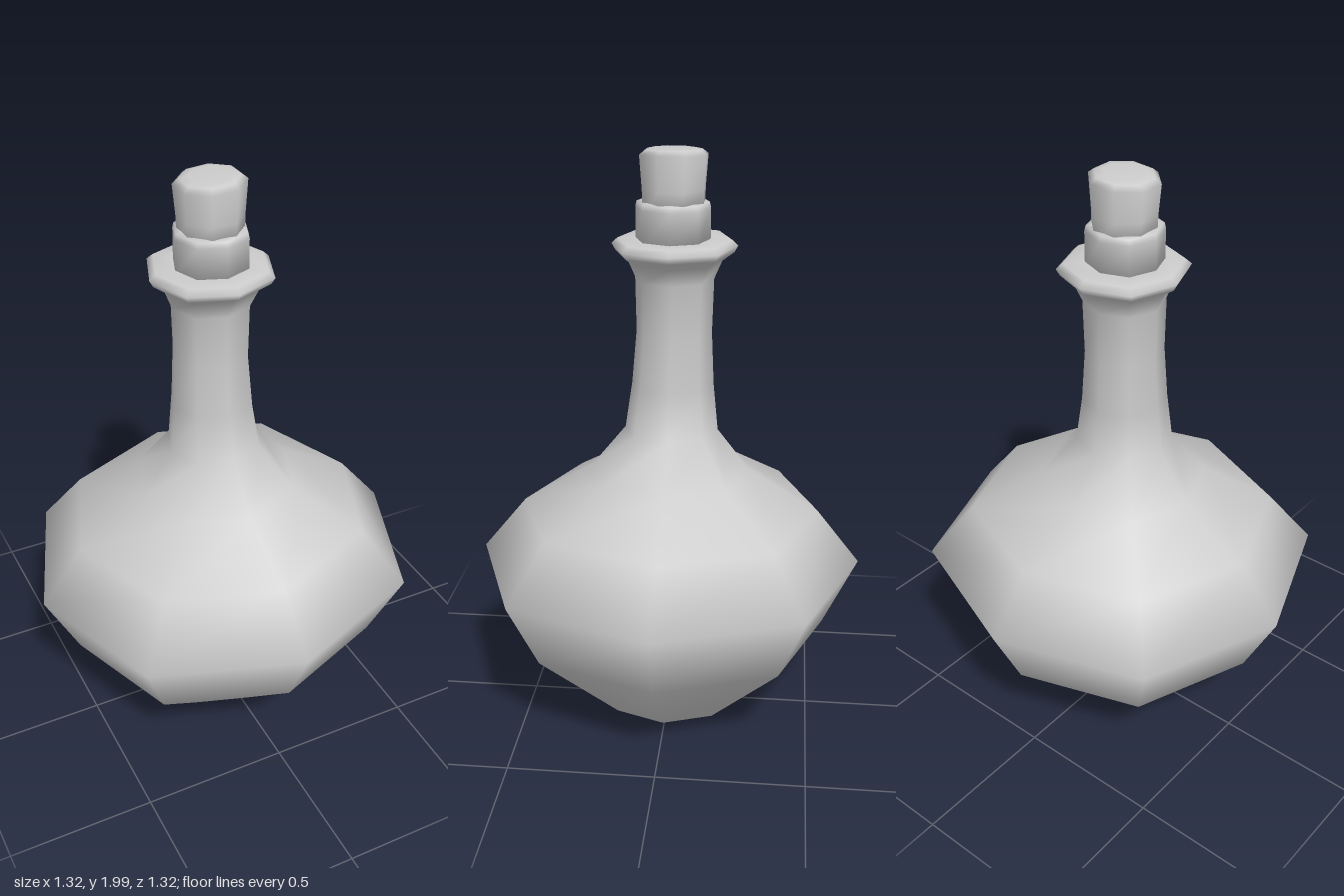
import * as THREE from 'three';

const SIDES = 8;

// Lofts eight-sided rings [y, radius, centreX, centreZ, tilt] from bottom to top, closing both ends.
function loft(name, rings, material, turn = 0) {
  const pos = [], idx = [];
  for (const [y, r, cx, cz, tilt] of rings) {
    for (let i = 0; i < SIDES; i++) {
      const a = (i / SIDES) * Math.PI * 2 + turn;
      const k = r * (i % 2 && !turn ? 1.03 : 1); // diagonal corners sit slightly further out
      const x = k * Math.cos(a);
      pos.push(cx + x, y + tilt * x, cz + k * Math.sin(a));
    }
  }
  for (let j = 0; j < rings.length - 1; j++) {
    for (let i = 0; i < SIDES; i++) {
      const a = j * SIDES + i, b = j * SIDES + (i + 1) % SIDES;
      idx.push(a, a + SIDES, b, b, a + SIDES, b + SIDES);
    }
  }
  // End caps
  const bottom = pos.length / 3, top = bottom + 1, last = (rings.length - 1) * SIDES;
  for (const [y, , cx, cz] of [rings[0], rings[rings.length - 1]]) pos.push(cx, y, cz);
  for (let i = 0; i < SIDES; i++) {
    const n = (i + 1) % SIDES;
    idx.push(bottom, i, n, top, last + n, last + i);
  }
  const geometry = new THREE.BufferGeometry();
  geometry.setAttribute('position', new THREE.Float32BufferAttribute(pos, 3));
  geometry.setIndex(idx);
  geometry.computeVertexNormals();
  const mesh = new THREE.Mesh(geometry, material);
  mesh.name = name;
  return mesh;
}

export function createModel() {
  const group = new THREE.Group();
  group.name = 'bottle';
  const grey = new THREE.MeshStandardMaterial({ color: 0xcccccc });

  // Slightly leaning body, neck and flared lip
  group.add(loft('bottleBody', [
    [0.01, 0.145, 0.01, 0, 0.03],
    [0.03, 0.23, 0.005, 0, 0.035],
    [0.347, 0.545, 0.003, 0, 0.033],
    [0.59, 0.66, 0, 0, 0.033],
    [0.776, 0.51, -0.003, -0.002, 0.04],
    [0.915, 0.273, -0.008, -0.004, 0.045],
    [1.06, 0.157, -0.012, -0.006, 0.04],
    [1.22, 0.137, -0.017, -0.01, 0.02],
    [1.4, 0.125, -0.02, -0.014, 0.01],
    [1.58, 0.129, -0.02, -0.015, 0.01],
    [1.64, 0.155, -0.018, -0.015, 0.005],
    [1.668, 0.193, -0.018, -0.015, 0],
    [1.69, 0.205, -0.018, -0.015, 0],
    [1.708, 0.185, -0.018, -0.015, 0],
    [1.71, 0.13, -0.018, -0.015, 0],
  ], grey));

  // Collar around the mouth
  group.add(loft('mouthCollar', [
    [1.695, 0.121, -0.018, -0.01, 0],
    [1.81, 0.121, -0.018, -0.01, 0],
    [1.828, 0.117, -0.018, -0.01, 0],
    [1.831, 0.1, -0.018, -0.01, 0],
  ], grey));

  // Cork with a softened, slanted top
  group.add(loft('cork', [
    [1.79, 0.104, -0.016, -0.013, 0],
    [1.87, 0.106, -0.017, -0.013, 0],
    [1.975, 0.114, -0.018, -0.013, 0.06],
    [1.99, 0.095, -0.018, -0.013, 0.06],
    [1.995, 0.07, -0.018, -0.013, 0.05],
  ], grey, Math.PI / 8));

  return group;
}
